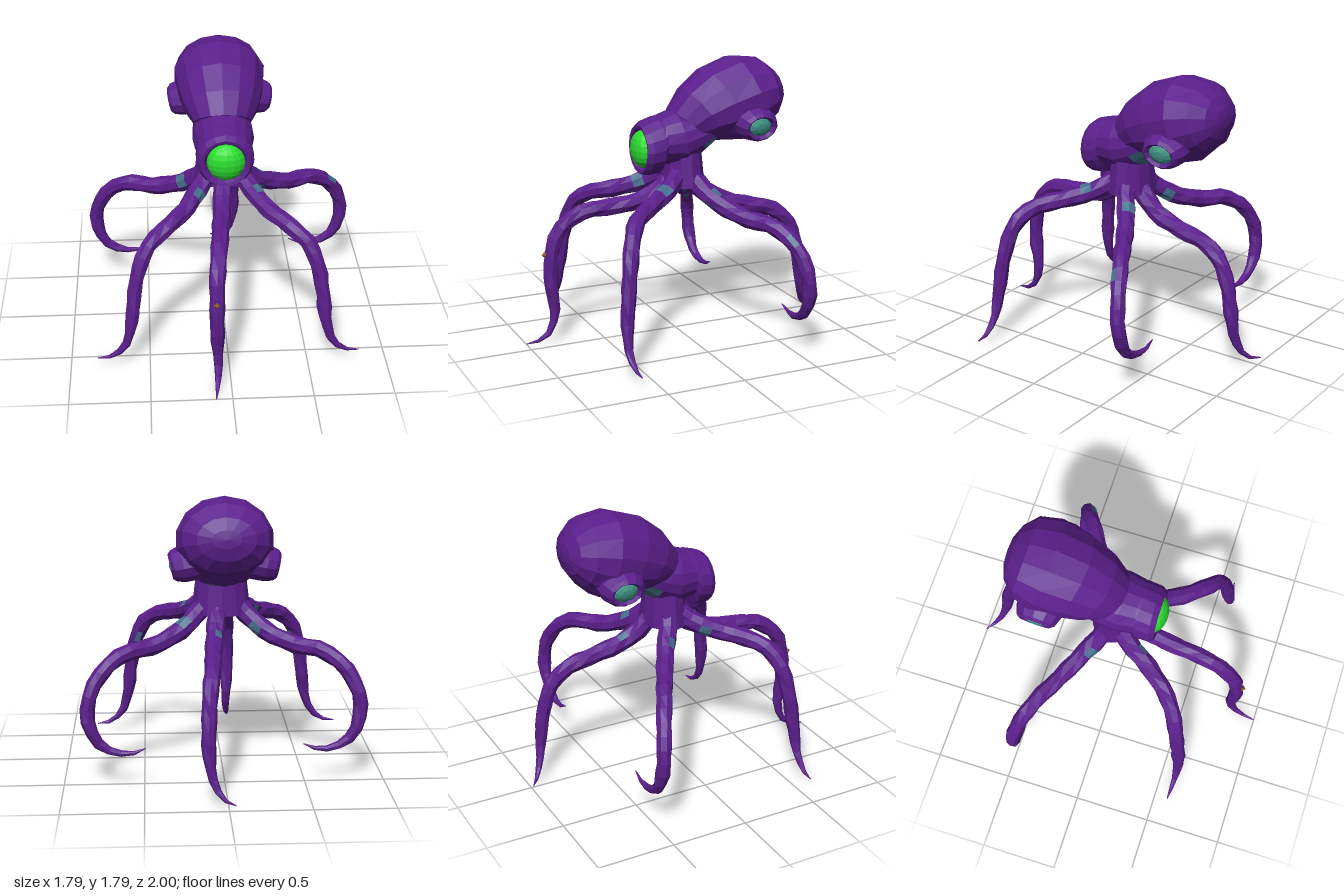
import * as THREE from 'three';

const mat = (name, color, side = THREE.FrontSide) => {
  const m = new THREE.MeshStandardMaterial({ color, flatShading: true, side });
  m.name = name;
  return m;
};

// Skins closed rings of points; patch(i, j) picks faces for the second material
function loft(rings, patch = () => false) {
  const lists = [[], []];
  const n = rings[0].length;
  for (let i = 0; i < rings.length - 1; i++) {
    for (let j = 0; j < n; j++) {
      const k = (j + 1) % n;
      const a = rings[i][j], b = rings[i][k], c = rings[i + 1][j], d = rings[i + 1][k];
      const out = lists[patch(i, j) ? 1 : 0];
      for (const p of [a, b, c, b, d, c]) out.push(p.x, p.y, p.z);
    }
  }
  const g = new THREE.BufferGeometry();
  g.setAttribute('position', new THREE.Float32BufferAttribute([...lists[0], ...lists[1]], 3));
  g.addGroup(0, lists[0].length / 3, 0);
  g.addGroup(lists[0].length / 3, lists[1].length / 3, 1);
  g.computeVertexNormals();
  return g;
}

// Elliptical rings from [topZ, topY, bottomZ, bottomY, halfWidth]
const bodyRings = (sections, n) => sections.map(([tz, ty, bz, by, w]) =>
  Array.from({ length: n }, (_, j) => {
    const a = (j / n) * Math.PI * 2, t = (1 - Math.cos(a)) / 2;
    return new THREE.Vector3(w * Math.sin(a), ty + (by - ty) * t, tz + (bz - tz) * t);
  }));

// Tapered, slightly knobbly rings along a curve
function tentacleRings(points, n = 8, steps = 22) {
  const curve = new THREE.CatmullRomCurve3(points.map(p => new THREE.Vector3(...p)));
  const frames = curve.computeFrenetFrames(steps);
  return Array.from({ length: steps + 1 }, (_, i) => {
    const t = i / steps, c = curve.getPointAt(t);
    const r = t < 0.72 ? 0.064 - 0.028 * t : 0.044 * Math.pow((1 - t) / 0.28, 0.85) + 0.003;
    return Array.from({ length: n }, (_, j) => {
      const a = (j / n) * Math.PI * 2;
      const knob = r * (1 + 0.08 * Math.sin(i * 2.3 + j * 1.9));
      return c.clone()
        .addScaledVector(frames.normals[i], knob * Math.cos(a))
        .addScaledVector(frames.binormals[i], knob * Math.sin(a));
    });
  });
}

export function createModel() {
  const purple = mat('purple skin', 0x5b1f8c, THREE.DoubleSide);
  const green = mat('green eye', 0x2bdd2f);
  const teal = mat('teal eye', 0x3f9583);
  const blue = mat('blue patch', 0x47708f, THREE.DoubleSide);
  const ochre = mat('ochre spot', 0x8a5a28);

  const model = new THREE.Group();
  const add = (name, geo, material, parent = model) => {
    const m = new THREE.Mesh(geo, material);
    m.name = name;
    parent.add(m);
    return m;
  };

  // Bulbous mantle, leaning back
  add('mantle', loft(bodyRings([
    [0.0, 1.43, -0.19, 1.29, 0.13],
    [0.04, 1.47, -0.2, 1.26, 0.185],
    [-0.05, 1.6, -0.3, 1.25, 0.24],
    [-0.2, 1.72, -0.44, 1.24, 0.28],
    [-0.4, 1.79, -0.56, 1.275, 0.3],
    [-0.57, 1.77, -0.65, 1.36, 0.265],
    [-0.665, 1.7, -0.705, 1.44, 0.18],
    [-0.71, 1.63, -0.725, 1.52, 0.09],
    [-0.725, 1.575, -0.725, 1.575, 0],
  ], 14)), [purple, blue]);

  // Head with thick eye-socket rim, running back under the mantle
  add('head', loft(bodyRings([
    [0.2, 1.34, 0.2, 1.13, 0.105],
    [0.25, 1.37, 0.25, 1.1, 0.135],
    [0.255, 1.39, 0.255, 1.08, 0.155],
    [0.22, 1.415, 0.22, 1.065, 0.18],
    [0.14, 1.44, 0.14, 1.07, 0.182],
    [0.12, 1.44, 0.12, 1.13, 0.175],
    [0.03, 1.47, -0.03, 1.11, 0.195],
    [-0.05, 1.46, -0.16, 1.18, 0.19],
    [-0.12, 1.46, -0.25, 1.25, 0.18],
    [-0.2, 1.46, -0.28, 1.32, 0.12],
  ], 16), (i, j) => i === 7 && j >= 5 && j <= 10), [purple, blue]);

  // Front eye
  const eye = add('frontEye', new THREE.SphereGeometry(0.122, 16, 10), green);
  eye.scale.z = 0.65;
  eye.position.set(0.005, 1.235, 0.222);

  // Neck flaring out to the tentacle roots
  const neck = add('neck', new THREE.CylinderGeometry(0.16, 0.19, 0.25, 12), purple);
  neck.scale.z = 0.75;
  neck.position.set(0, 1.115, -0.04);

  // Side eye pods on the mantle
  const podProfile = [[0.15, -0.12], [0.145, 0], [0.125, 0.055], [0.1, 0.075], [0.08, 0.06], [0.075, 0.03]]
    .map(p => new THREE.Vector2(...p));
  for (const s of [1, -1]) {
    const pod = new THREE.Group();
    pod.name = s > 0 ? 'leftEyePod' : 'rightEyePod';
    add('podRim', new THREE.LatheGeometry(podProfile, 12), purple, pod);
    const pupil = add('sideEye', new THREE.SphereGeometry(0.085, 10, 6), teal, pod);
    pupil.scale.y = 0.5;
    pupil.position.y = 0.04;
    pod.position.set(s * 0.255, 1.385, -0.45);
    pod.quaternion.setFromUnitVectors(new THREE.Vector3(0, 1, 0),
      new THREE.Vector3(s, -0.22, -0.04).normalize());
    pod.scale.set(0.78, 1, 1);
    model.add(pod);
  }

  // Six tentacles: front, back and two mirrored pairs
  const frontLeg = [[0, 1.1, -0.02], [-0.01, 0.98, 0.08], [-0.02, 0.9, 0.22], [-0.04, 0.87, 0.42],
    [-0.06, 0.85, 0.62], [-0.08, 0.74, 0.77], [-0.085, 0.6, 0.82], [-0.085, 0.4, 0.83],
    [-0.08, 0.2, 0.81], [-0.08, 0.07, 0.85], [-0.09, 0.02, 0.92], [-0.1, 0.006, 1]];
  const backLeg = [[0, 1.1, -0.06], [0.03, 0.98, -0.15], [0.05, 0.88, -0.27], [0.07, 0.81, -0.48],
    [0.08, 0.77, -0.65], [0.1, 0.68, -0.77], [0.11, 0.54, -0.83], [0.115, 0.35, -0.865],
    [0.1, 0.2, -0.885], [0.06, 0.09, -0.92], [0.01, 0.045, -0.96], [-0.04, 0.038, -1]];
  const frontSideLeg = [[0.06, 1.1, -0.02], [0.16, 1.0, 0.11], [0.26, 0.93, 0.28], [0.4, 0.88, 0.44],
    [0.5, 0.8, 0.51], [0.56, 0.65, 0.55], [0.59, 0.48, 0.575], [0.615, 0.28, 0.595],
    [0.66, 0.14, 0.6], [0.74, 0.07, 0.595], [0.83, 0.055, 0.59]];
  const backSideLeg = [[0.06, 1.1, -0.05], [0.16, 0.99, -0.1], [0.27, 0.9, -0.18], [0.45, 0.83, -0.29],
    [0.62, 0.81, -0.39], [0.75, 0.72, -0.465], [0.83, 0.58, -0.51], [0.845, 0.44, -0.525],
    [0.79, 0.29, -0.53], [0.68, 0.22, -0.53], [0.57, 0.215, -0.535], [0.49, 0.245, -0.53]];
  const mirror = (pts, zs) => pts.map(([x, y, z]) => [-x, y, z * zs]);

  const legs = {
    frontTentacle: frontLeg,
    backTentacle: backLeg,
    frontLeftTentacle: frontSideLeg,
    frontRightTentacle: mirror(frontSideLeg, 1),
    backLeftTentacle: backSideLeg,
    backRightTentacle: mirror(backSideLeg, 0.93),
  };
  for (const [name, pts] of Object.entries(legs)) {
    const patch = name.includes('Left') || name.includes('Right')
      ? (i, j) => (i === 3 && j % 4 < 2) || (i === 11 && j === 2)
      : (i, j) => i === 4 && j === 1;
    add(name, loft(tentacleRings(pts), patch), [purple, blue]);
  }

  // Small spot on the front tentacle
  const spot = add('tentacleSpot', new THREE.OctahedronGeometry(0.022), ochre);
  spot.position.set(-0.09, 0.59, 0.865);

  return model;
}
